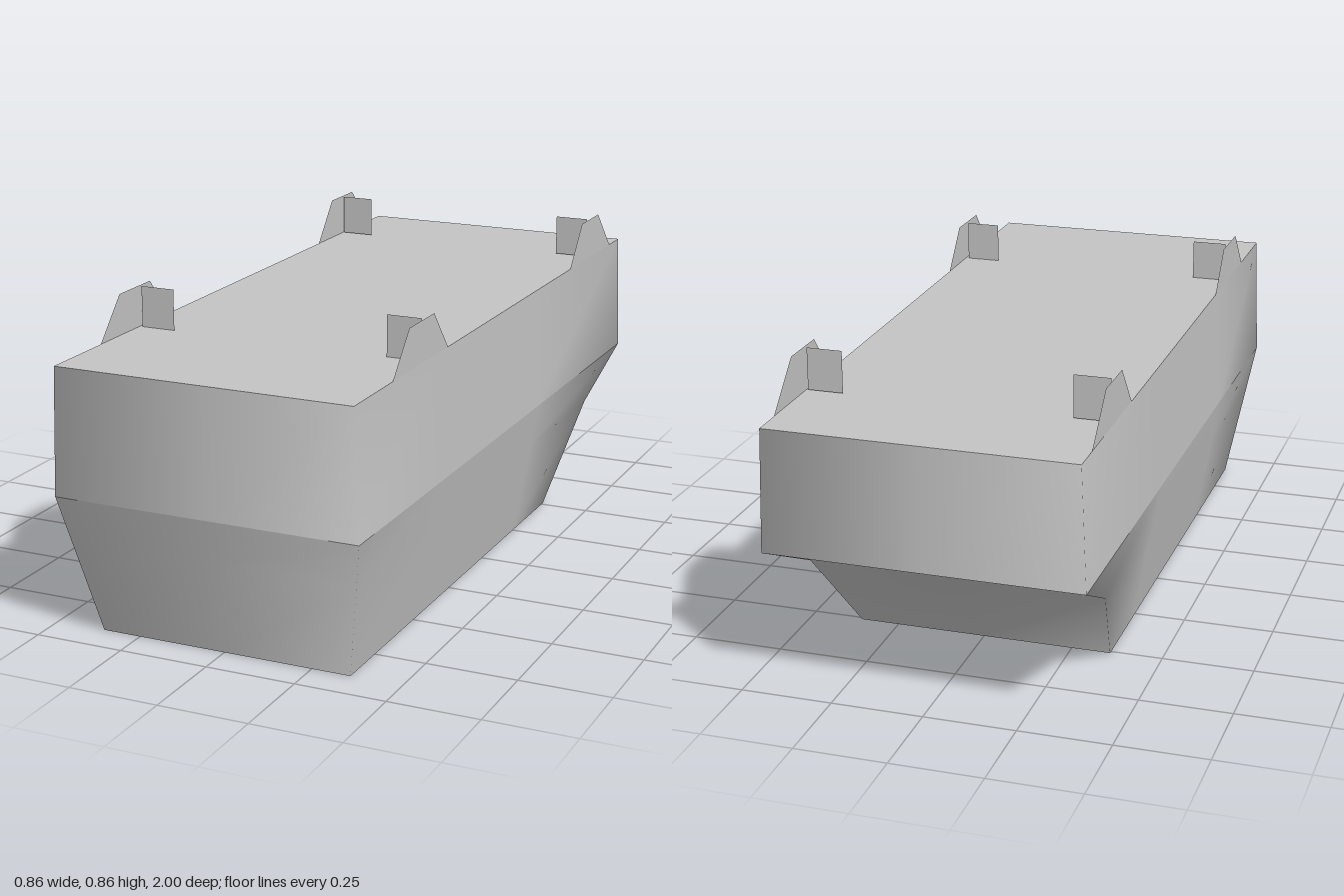
import * as THREE from 'three';

const hullGrey = new THREE.MeshStandardMaterial({ color: 0xc4c4c4 });
hullGrey.name = 'hull grey';
const sheetGrey = new THREE.MeshStandardMaterial({ color: 0xc4c4c4, side: THREE.DoubleSide });
sheetGrey.name = 'sheet grey';

// Cross-section levels, bottom to top: height, front z, back z, half width
const LEVELS = [
  { y: 0, front: 0.9, back: -0.51, half: 0.358 },
  { y: 0.27, front: 0.968, back: -0.74, half: 0.406 },
  { y: 0.395, front: 1, back: -0.995, half: 0.428 },
  { y: 0.74, front: 1, back: -1, half: 0.415 },
];

// Outline of one level, counterclockwise seen from above
function outline({ y, front, back, half }, isDeck) {
  const side = [[half, front], [half, 0.45], [half, -0.25], [half, back]];
  const points = [
    [0, front], ...side, [0, back],
    ...side.map(([x, z]) => [-x, z]).reverse(),
  ];
  // The deck slopes very slightly down to the back
  return points.map(([x, z]) => [x, isDeck ? y + 0.005 * z : y, z]);
}

const RINGS = LEVELS.map((level, i) => outline(level, i === LEVELS.length - 1));

function geometry(positions, index) {
  const g = new THREE.BufferGeometry();
  g.setAttribute('position', new THREE.Float32BufferAttribute(positions.flat(), 3));
  g.setIndex(index);
  g.computeVertexNormals();
  return g;
}

// Smooth wall through a run of levels
function wall(rings) {
  const n = rings[0].length;
  const index = [];
  for (let r = 0; r < rings.length - 1; r++) {
    for (let i = 0; i < n; i++) {
      const j = (i + 1) % n;
      const a = r * n + i, b = r * n + j;
      index.push(a, b, b + n, a, b + n, a + n);
    }
  }
  return geometry(rings.flat(), index);
}

// Flat cover over one level
function cap(ring, up) {
  const index = [];
  for (let i = 1; i < ring.length - 1; i++) {
    index.push(0, ...(up ? [i, i + 1] : [i + 1, i]));
  }
  return geometry(ring, index);
}

function addMesh(parent, name, geo, material) {
  const mesh = new THREE.Mesh(geo, material);
  mesh.name = name;
  parent.add(mesh);
  return mesh;
}

// Upright trapezoid in the side plane
function finGeometry(z0, z1, z2, z3) {
  const shape = new THREE.Shape([
    new THREE.Vector2(z0, 0.735), new THREE.Vector2(z1, 0.855),
    new THREE.Vector2(z2, 0.855), new THREE.Vector2(z3, 0.735),
  ]);
  return new THREE.ShapeGeometry(shape).rotateY(-Math.PI / 2);
}

export function createModel() {
  const model = new THREE.Group();
  model.name = 'hullBlock';

  // Body, with a crease at its widest level
  const body = new THREE.Group();
  body.name = 'body';
  model.add(body);
  addMesh(body, 'lowerHull', wall(RINGS.slice(0, 3)), hullGrey);
  addMesh(body, 'upperHull', wall(RINGS.slice(2)), hullGrey);
  addMesh(body, 'deck', cap(RINGS[3], true), hullGrey);
  addMesh(body, 'underside', cap(RINGS[0], false), hullGrey);

  // Four brackets: a side fin and a crosswise plate each
  const brackets = [
    { name: 'front', fin: [0.78, 0.67, 0.51, 0.41], plateZ: 0.57 },
    { name: 'rear', fin: [-0.54, -0.64, -0.79, -0.91], plateZ: -0.71 },
  ];
  for (const { name, fin, plateZ } of brackets) {
    for (const side of [1, -1]) {
      const bracket = new THREE.Group();
      bracket.name = `${name}${side > 0 ? 'Left' : 'Right'}Bracket`;
      model.add(bracket);
      addMesh(bracket, 'sideFin', finGeometry(...fin), sheetGrey).position.x = side * 0.415;
      const plate = addMesh(bracket, 'crossPlate', new THREE.PlaneGeometry(0.097, 0.115), sheetGrey);
      plate.position.set(side * 0.358, 0.7975, plateZ);
    }
  }
  return model;
}
